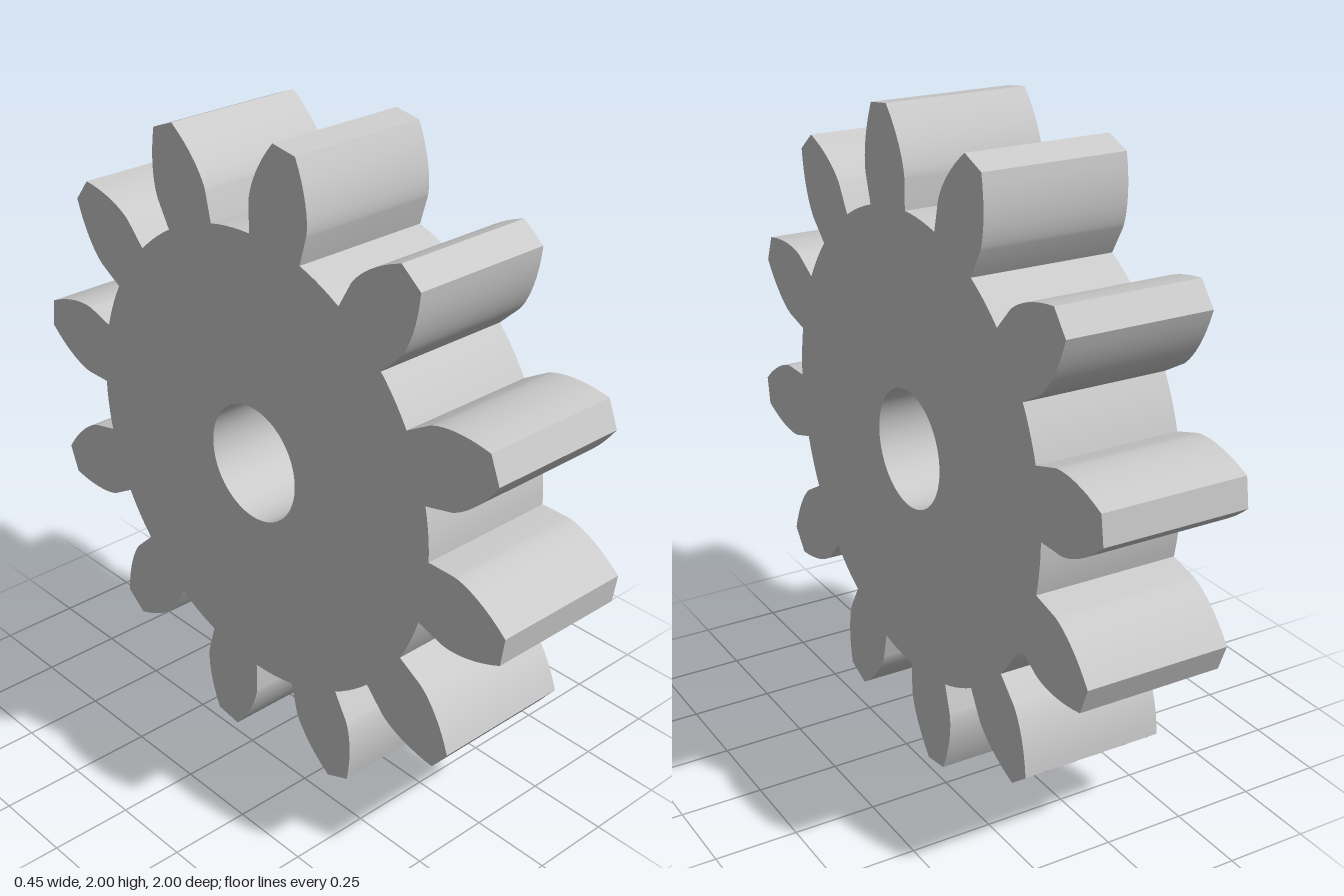
import * as THREE from 'three';
import { toCreasedNormals } from 'three/addons/utils/BufferGeometryUtils.js';

const TEETH = 12, WIDTH = 0.452;
const TIP_R = 1.005, ROOT_R = 0.718, BASE_R = 0.81, BORE_R = 0.183;
const PITCH = (2 * Math.PI) / TEETH;
const HALF = THREE.MathUtils.degToRad(8.35); // half tooth angle at the base circle

// Angle an involute has turned when it reaches radius r
function involute(r) {
  const phi = Math.acos(BASE_R / r);
  return Math.tan(phi) - phi;
}

// Outline of the spur gear: radial root, involute flanks, flat tips
function gearShape() {
  const pts = [];
  const polar = (r, a) => pts.push(new THREE.Vector2(r * Math.cos(a), r * Math.sin(a)));
  const steps = 10, rootSteps = 5;
  for (let i = 0; i < TEETH; i++) {
    const mid = Math.PI / 2 + HALF + i * PITCH;
    polar(ROOT_R, mid - HALF);
    for (let side = -1; side <= 1; side += 2) {
      for (let k = 0; k <= steps; k++) {
        const t = (side < 0 ? k : steps - k) / steps;
        const r = BASE_R + (TIP_R - BASE_R) * Math.pow(t, 1.5);
        polar(r, mid + side * (HALF - involute(r)));
      }
    }
    // root arc up to the next tooth
    for (let k = 0; k < rootSteps; k++) {
      polar(ROOT_R, mid + HALF + (PITCH - 2 * HALF) * (k / rootSteps));
    }
  }
  const shape = new THREE.Shape(pts);
  const bore = new THREE.Path();
  bore.absarc(0, 0, BORE_R, 0, 2 * Math.PI, true);
  shape.holes.push(bore);
  return shape;
}

export function createModel() {
  const group = new THREE.Group();
  group.name = 'spurGear';

  // Gear body with its axle hole along x
  let geo = new THREE.ExtrudeGeometry(gearShape(), {
    depth: WIDTH, bevelEnabled: false, curveSegments: 48,
  });
  geo.translate(0, 0, -WIDTH / 2);
  geo.rotateY(Math.PI / 2);
  geo.translate(0, 1, 0);
  geo = toCreasedNormals(geo, 0.35);

  const gear = new THREE.Mesh(geo, new THREE.MeshStandardMaterial({ color: 0xcccccc }));
  gear.name = 'gearBody';
  group.add(gear);
  return group;
}
